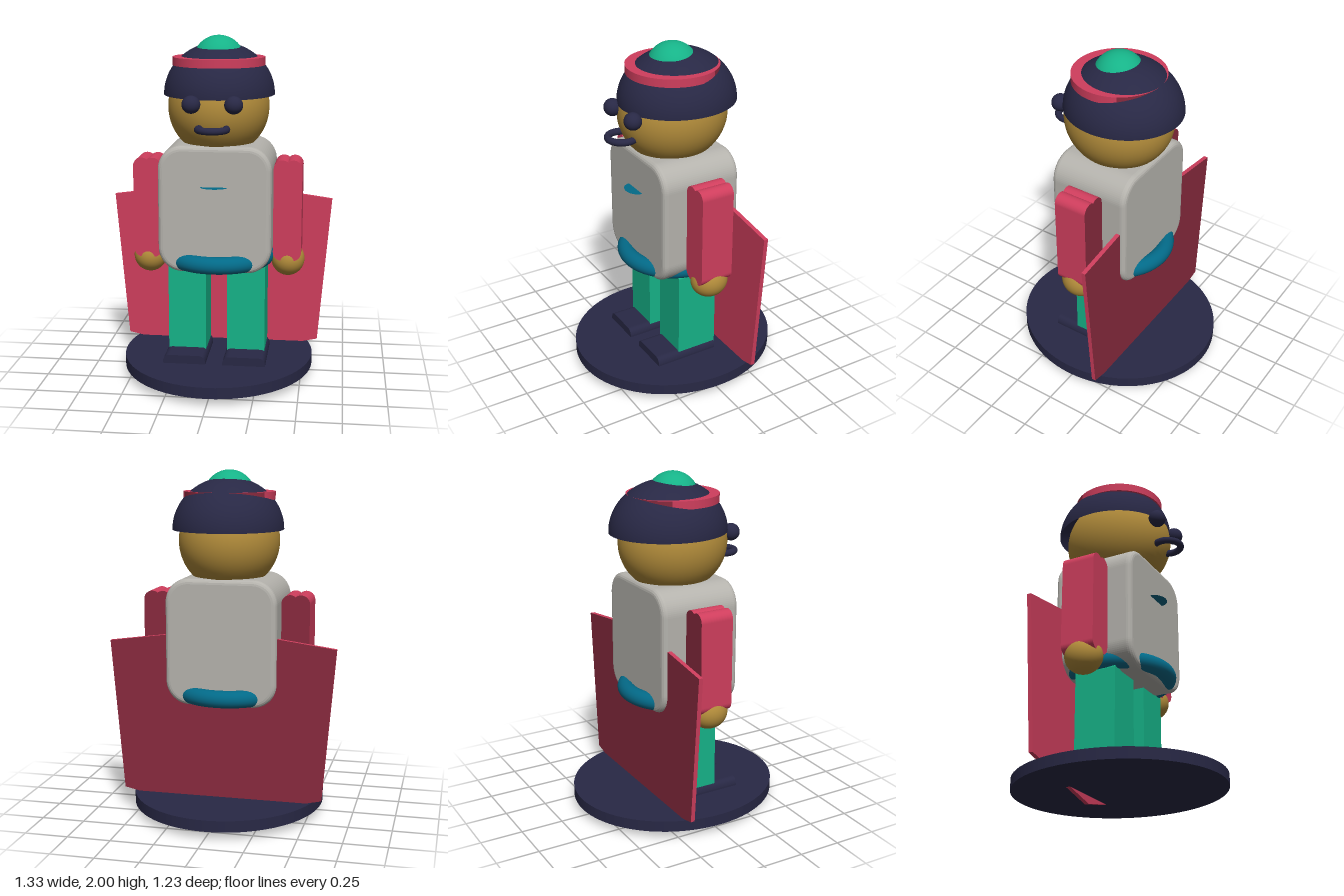
import * as THREE from 'three';

export function createModel() {
  const model = new THREE.Group();
  model.name = 'figurine';

  const paint = (name, color, side = THREE.FrontSide) => {
    const m = new THREE.MeshStandardMaterial({ color, side });
    m.name = name;
    return m;
  };
  const navy = paint('navy', 0x282845, THREE.DoubleSide);
  const red = paint('crimson', 0xcf3e5d);
  const darkRed = paint('dark crimson', 0x892a3e);
  const green = paint('green', 0x16b388);
  const gold = paint('gold', 0xb18b3a);
  const grey = paint('warm grey', 0xb5b3ad);
  const teal = paint('teal', 0x036a88, THREE.DoubleSide);

  const add = (name, geometry, material, x = 0, y = 0, z = 0) => {
    const mesh = new THREE.Mesh(geometry, material);
    mesh.name = name;
    mesh.position.set(x, y, z);
    model.add(mesh);
    return mesh;
  };
  const ball = (rx, ry, rz) => new THREE.SphereGeometry(1, 48, 32).scale(rx, ry, rz);

  // Extrudes a front outline, centred in depth; the bevel stays inside the depth
  const slab = (shape, depth, bevel = 0) =>
    new THREE.ExtrudeGeometry(shape, {
      depth: depth - 2 * bevel,
      bevelEnabled: bevel > 0,
      bevelSize: bevel,
      bevelThickness: bevel,
      bevelOffset: -bevel,
      bevelSegments: 4,
      curveSegments: 10,
    }).translate(0, 0, bevel - depth / 2);

  // Plain slab whose back face takes the second material of an array
  const twoToneSlab = (shape, depth) => {
    const g = slab(shape, depth);
    const [caps, sides] = g.groups;
    g.clearGroups();
    g.addGroup(0, caps.count / 2, 1);
    g.addGroup(caps.count / 2, caps.count / 2, 0);
    g.addGroup(sides.start, sides.count, 0);
    return g;
  };

  const roundedRect = (w, h, r) => {
    const s = new THREE.Shape();
    const a = w / 2, b = h / 2;
    s.absarc(a - r, b - r, r, 0, Math.PI / 2);
    s.absarc(-a + r, b - r, r, Math.PI / 2, Math.PI);
    s.absarc(-a + r, -b + r, r, Math.PI, Math.PI * 1.5);
    s.absarc(a - r, -b + r, r, Math.PI * 1.5, Math.PI * 2);
    s.closePath();
    return s;
  };

  // Oval stand
  add('stand', new THREE.CylinderGeometry(1, 1, 0.065, 72).scale(0.562, 1, 0.616), navy, 0, 0.078);

  // Flat cape, pointed at the middle of its top and bottom edges, darker behind
  const capeShape = new THREE.Shape([
    [0, 0], [0.588, 0.13], [0.663, 1.018], [0, 1.108], [-0.663, 1.018], [-0.588, 0.13],
  ].map(([x, y]) => new THREE.Vector2(x, y)));
  add('cape', twoToneSlab(capeShape, 0.025), [red, darkRed], 0, 0, -0.206);

  // Body and belt
  add('torso', slab(roundedRect(0.65, 0.735, 0.14), 0.49, 0.03), grey, 0, 1.027);
  add('belt', new THREE.TorusGeometry(0.28, 0.05, 24, 72).rotateX(Math.PI / 2), teal, 0, 0.714);

  // Thin badge set level into the chest
  add('badge', new THREE.CircleGeometry(1, 32).scale(0.078, 0.062, 1).rotateX(-Math.PI / 2),
    teal, 0, 1.163, 0.245);

  // Arm outline: two rounded, overlapping lobes side by side
  const armShape = new THREE.Shape();
  const r = 0.05, c = 0.032, top = 0.247, notch = Math.acos(c / r);
  armShape.absarc(c, top, r, 0, Math.PI - notch);
  armShape.absarc(-c, top, r, notch, Math.PI);
  armShape.absarc(-c, -top, r, Math.PI, Math.PI * 2 - notch);
  armShape.absarc(c, -top, r, Math.PI + notch, Math.PI * 2);
  armShape.closePath();

  // Foot outline: flat sole, rounded upper corners
  const footShape = new THREE.Shape();
  footShape.moveTo(-0.125, 0);
  footShape.lineTo(0.125, 0);
  footShape.lineTo(0.125, 0.015);
  footShape.quadraticCurveTo(0.12, 0.055, 0.085, 0.055);
  footShape.lineTo(-0.085, 0.055);
  footShape.quadraticCurveTo(-0.12, 0.055, -0.125, 0.015);
  footShape.closePath();

  for (const [side, s] of [['left', 1], ['right', -1]]) {
    add(side + 'Leg', slab(roundedRect(0.222, 0.57, 0.015), 0.25), green, s * 0.174, 0.39);
    add(side + 'Foot', slab(footShape, 0.39), navy, s * 0.175, 0.106, 0.075);
    add(side + 'Arm', twoToneSlab(armShape, 0.2), [red, darkRed], s * 0.409, 1.003);
    add(side + 'Hand', ball(0.098, 0.1, 0.11), gold, s * 0.411, 0.697);
    add(side + 'Eye', ball(0.052, 0.05, 0.05), navy, s * 0.118, 1.639, 0.318);
  }

  // Head and ring mouth
  add('head', ball(0.292, 0.292, 0.32), gold, 0, 1.596);
  add('mouth', new THREE.TorusGeometry(0.08, 0.02, 16, 48).rotateX(Math.PI / 2), navy, 0, 1.504, 0.325);

  // Cap of hair with a band, darker behind, and a round top
  const dome = new THREE.SphereGeometry(1, 64, 24, 0, Math.PI * 2, 0, Math.PI / 2);
  add('hair', dome.scale(0.32, 0.297, 0.345), navy, 0, 1.662, -0.029);
  const bandArc = (start, length) =>
    new THREE.CylinderGeometry(0.265, 0.265, 0.047, 48, 1, false, start, length);
  add('headbandFront', bandArc(-Math.PI * 2 / 3, Math.PI * 4 / 3), red, 0, 1.855);
  add('headbandBack', bandArc(Math.PI * 2 / 3, Math.PI * 2 / 3), [darkRed, red, red], 0, 1.855);
  add('topButton', ball(0.15, 0.15, 0.15), green, 0, 1.85);

  return model;
}
